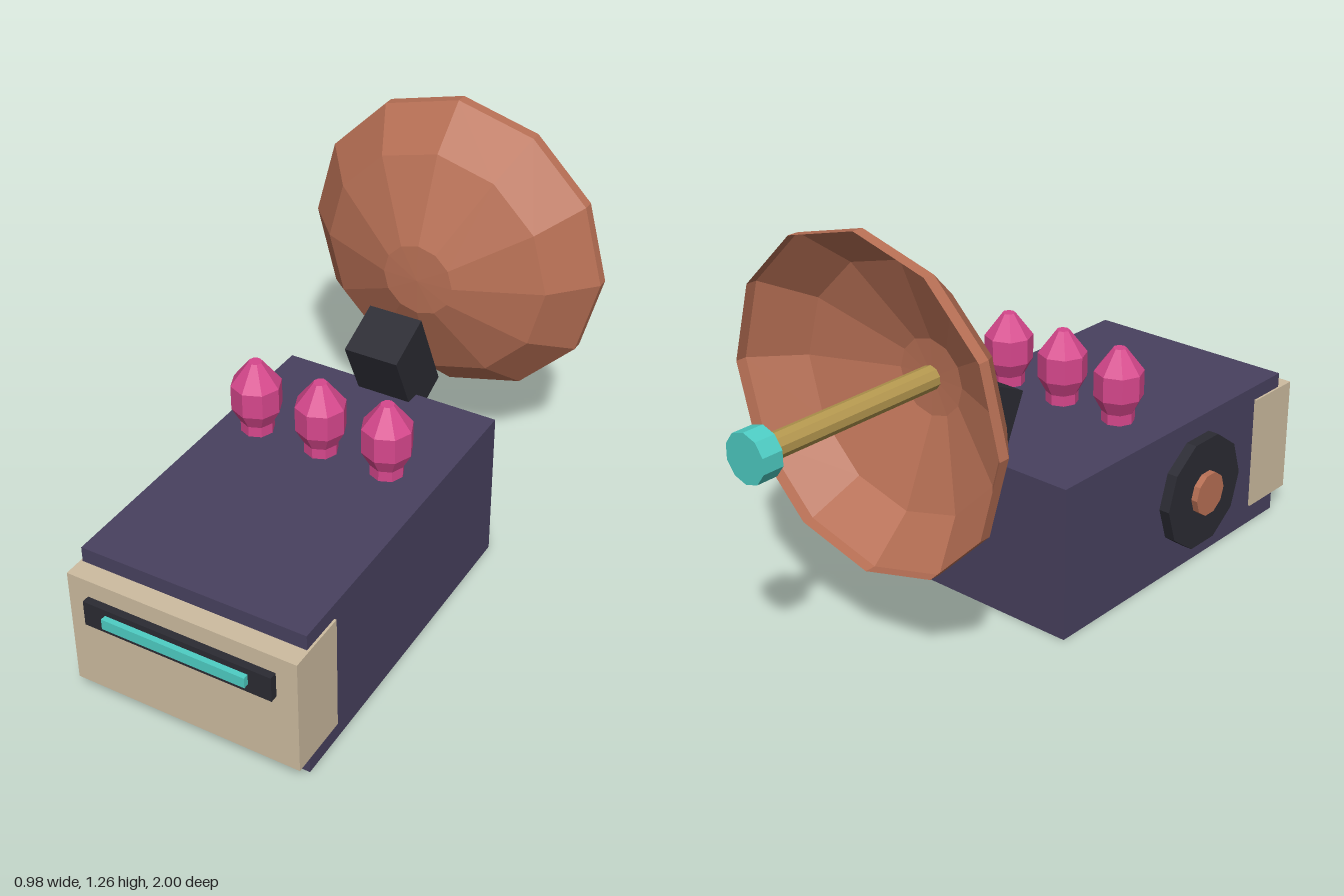
import * as THREE from 'three';

const mat = (name, color, extra = {}) => {
  const m = new THREE.MeshStandardMaterial({ color, flatShading: true, ...extra });
  m.name = name;
  return m;
};

export function createModel() {
  const indigo = mat('indigo', 0x48415f);
  const cream = mat('cream', 0xcdbca0);
  const charcoal = mat('charcoal', 0x2b2b33);
  const teal = mat('teal', 0x4ecdc4);
  const pink = mat('pink', 0xd6478c);
  const brass = mat('brass', 0xb5984f);
  const copper = mat('copper', 0xb87055, { side: THREE.DoubleSide });

  const model = new THREE.Group();
  model.name = 'dishDevice';

  const add = (name, geometry, material, x, y, z) => {
    const mesh = new THREE.Mesh(geometry, material);
    mesh.name = name;
    mesh.position.set(x, y, z);
    model.add(mesh);
    return mesh;
  };
  // Box from its min and max extents, symmetric in x
  const box = (name, material, halfX, y0, y1, z0, z1) =>
    add(name, new THREE.BoxGeometry(halfX * 2, y1 - y0, z1 - z0), material, 0, (y0 + y1) / 2, (z0 + z1) / 2);

  // Body, front plate and light slot
  box('body', indigo, 0.35, 0, 0.482, -0.17, 0.9);
  box('frontPlate', cream, 0.357, 0.063, 0.435, 0.765, 0.96);
  box('slotFrame', charcoal, 0.293, 0.3, 0.38, 0.95, 0.983);
  box('slotLight', teal, 0.223, 0.328, 0.361, 0.975, 1.0);

  // Side dial with hub
  const disc = (name, r, x0, x1, material) => {
    const d = add(name, new THREE.CylinderGeometry(r, r, x1 - x0, 10), material, (x0 + x1) / 2, 0.242, 0.46);
    d.rotation.z = Math.PI / 2;
  };
  disc('dial', 0.184, -0.385, -0.345, charcoal);
  disc('dialHub', 0.07, -0.406, -0.38, copper);

  // Row of bulbs floating just above the body
  const bulbProfile = [[0, 0], [0.05, 0], [0.05, 0.033], [0.075, 0.08], [0.075, 0.158], [0.02, 0.23], [0, 0.23]]
    .map(([r, y]) => new THREE.Vector2(r, y));
  const bulbGeometry = new THREE.LatheGeometry(bulbProfile, 8);
  for (const x of [-0.213, 0, 0.213]) add('bulb', bulbGeometry, pink, x, 0.51, 0.24);

  // Tilted bracket carrying the dish
  const bracket = add('bracket', new THREE.BoxGeometry(0.172, 0.298, 0.167), charcoal, 0, 0.56, -0.18);
  bracket.rotation.x = 0.427;

  // Faceted dish opening to the rear
  const dishProfile = [[0, 0], [0.115, 0.006], [0.37, 0.115], [0.49, 0.245], [0.49, 0.28]]
    .map(([r, y]) => new THREE.Vector2(r, y));
  const dish = add('dish', new THREE.LatheGeometry(dishProfile, 12), copper, 0, 0.773, -0.324);
  dish.rotation.x = -Math.PI / 2;

  // Feed rod and its cap
  const rod = add('feedRod', new THREE.CylinderGeometry(0.036, 0.036, 0.61, 10), brass, 0, 0.773, -0.635);
  const cap = add('feedCap', new THREE.CylinderGeometry(0.072, 0.072, 0.065, 10), teal, 0, 0.773, -0.9675);
  rod.rotation.x = cap.rotation.x = Math.PI / 2;

  return model;
}
